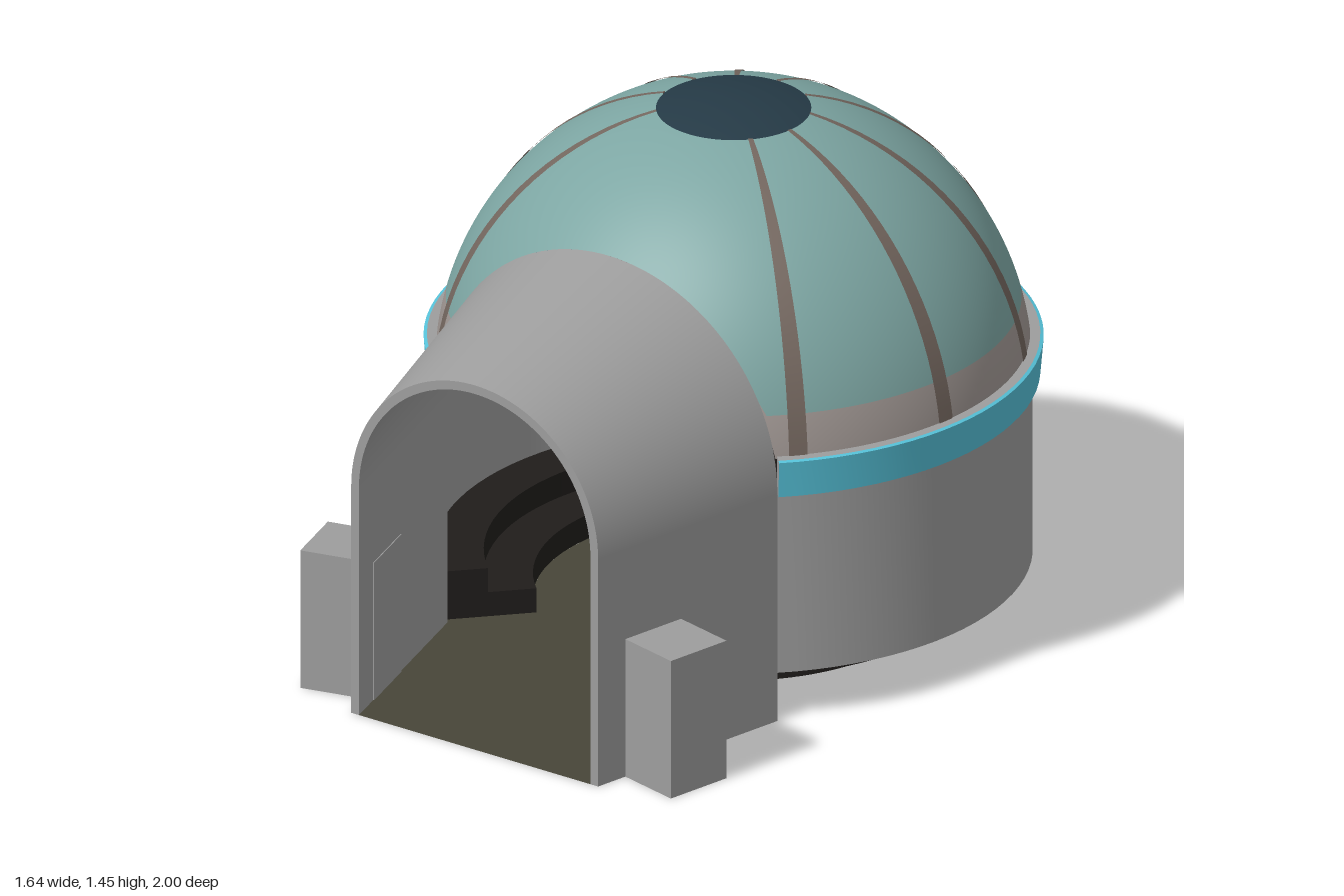
import * as THREE from 'three';
import { toCreasedNormals } from 'three/addons/utils/BufferGeometryUtils.js';
import { ParametricGeometry } from 'three/addons/geometries/ParametricGeometry.js';

const R = 0.79, SPRING = 0.66, CENTRE_Z = -0.18; // dome radius, spring line, axis
const CUT = 0.57;                                // entrance plane, measured from the axis
const GAP = Math.acos(CUT / R);                  // half angle of the entrance opening
const SWEEP = 2 * Math.PI - 2 * GAP;
const ARCH = Math.sqrt(R * R - CUT * CUT);       // arch radius where the porch meets the dome

const mat = (color) => new THREE.MeshStandardMaterial({ color, side: THREE.DoubleSide });
const GREY = mat(0x9d9d9d), TEAL = mat(0x7da6a3), STRIPE = mat(0xa09793), BLUE = mat(0x56c2d9);
const BROWN = mat(0x73665e), CAP = mat(0x253a46), BLACK = mat(0x201d1b), FLOOR = mat(0x474538);

function add(parent, name, geometry, material) {
  const mesh = new THREE.Mesh(geometry, material);
  mesh.name = name;
  parent.add(mesh);
  return mesh;
}

// Revolved wall, open towards the entrance by default
function lathe(points, start = GAP, sweep = SWEEP, segments = 72) {
  const profile = points.map(([r, y]) => new THREE.Vector2(r, y));
  return toCreasedNormals(new THREE.LatheGeometry(profile, segments, start, sweep), 0.5);
}

// Flat end face standing in the radial plane at an angle
function radialFace(points, angle) {
  const shape = new THREE.Shape(points.map(([r, y]) => new THREE.Vector2(r, y)));
  return new THREE.ShapeGeometry(shape).rotateY(angle - Math.PI / 2);
}

// Zone of the dome between two elevations, trimmed by the entrance plane
function domeZone(low, high, rows) {
  const geometry = new ParametricGeometry((u, v, p) => {
    const phi = u * 2 * Math.PI, c = R * Math.cos(phi);
    const trim = c > CUT ? Math.acos(CUT / c) : 0;
    const e = THREE.MathUtils.lerp(Math.max(low, trim), Math.max(high, trim), v);
    p.set(Math.cos(e) * Math.sin(phi), Math.sin(e), Math.cos(e) * Math.cos(phi)).multiplyScalar(R);
  }, 240, rows);
  const pos = geometry.attributes.position, n = new THREE.Vector3();
  for (let i = 0; i < pos.count; i++) {
    n.fromBufferAttribute(pos, i).normalize();
    geometry.attributes.normal.setXYZ(i, n.x, n.y, n.z);
  }
  return geometry.translate(0, SPRING, 0);
}

// Point on a round-topped arch with straight legs
function archPoint(t, r, z, p) {
  if (t < 0.2) return p.set(r, SPRING * t / 0.2, z);
  if (t > 0.8) return p.set(-r, SPRING * (1 - t) / 0.2, z);
  const a = Math.PI * (t - 0.2) / 0.6;
  return p.set(r * Math.cos(a), SPRING + r * Math.sin(a), z);
}

// Surface stretched between two arches given as [radius, z]
function archLoft([r0, z0], [r1, z1]) {
  return new ParametricGeometry((u, v, p) =>
    archPoint(u, r0 + (r1 - r0) * v, z0 + (z1 - z0) * v, p), 160, 4);
}

export function createModel() {
  const model = new THREE.Group();
  model.name = 'domedBuilding';
  const rotunda = new THREE.Group();
  rotunda.name = 'rotunda';
  rotunda.position.z = CENTRE_Z;
  model.add(rotunda);

  // Drum wall and stepped base
  add(rotunda, 'drumWall', lathe([[R, 0.14], [R, SPRING]]), GREY);
  const steps = [[0.53, 0], [0.53, 0.07], [0.66, 0.07], [0.66, 0.14], [R, 0.14]];
  add(rotunda, 'baseSteps', lathe(steps), BLACK);

  // Coloured band with a narrow bevel and plain rims
  const band = [[0.785, 0.66], [0.81, 0.66], [0.819, 0.763], [0.81, 0.766], [0.78, 0.766]];
  add(rotunda, 'bandOuter', lathe(band.slice(1, 4)), BLUE);
  add(rotunda, 'bandInner', lathe([band[0], band[4]]), BLUE);
  add(rotunda, 'bandTopRim', lathe([band[3], band[4]]), GREY);
  add(rotunda, 'bandBottomRim', lathe([band[0], band[1]]), GREY);
  for (const angle of [GAP, -GAP]) {
    add(rotunda, 'bandEnd', radialFace(band, angle), GREY);
    add(rotunda, 'baseStepsEnd', radialFace([...steps, [R, 0]], angle), BLACK);
  }

  // Dome: lower stripe, main shell, crown cap
  const eBase = Math.asin(0.1 / R), eStripe = Math.asin(0.215 / R), eCap = Math.acos(0.205 / R);
  add(rotunda, 'domeStripe', domeZone(eBase, eStripe, 4), STRIPE);
  add(rotunda, 'domeShell', domeZone(eStripe, eCap, 32), TEAL);
  add(rotunda, 'domeCap', domeZone(eCap, Math.PI / 2, 6), CAP);

  // Ribs: thin wedges running from the band to the cap
  const ribProfile = [];
  const ribArc = (radius, from, to) => {
    for (let i = 0; i <= 20; i++) {
      const e = from + (to - from) * i / 20;
      ribProfile.push([radius * Math.cos(e), SPRING + radius * Math.sin(e)]);
    }
  };
  ribArc(R + 0.003, eBase, eCap);
  ribArc(R - 0.012, eCap, eBase);
  ribProfile.push(ribProfile[0]);
  const ribWidth = 0.064, ribStep = THREE.MathUtils.degToRad(33);
  for (let i = -4; i <= 4; i++) {
    const angle = Math.PI + i * ribStep - ribWidth / 2;
    add(rotunda, 'domeRib', lathe(ribProfile, angle, ribWidth, 2), BROWN);
  }

  // Tapering arched porch with a thin wall
  const porch = new THREE.Group();
  porch.name = 'porch';
  model.add(porch);
  const backZ = CENTRE_Z + CUT, wall = 0.025, front = 0.4;
  const outer = [[ARCH, backZ], [front, 1]];
  const inner = [[ARCH - wall, backZ], [front - wall, 1]];
  add(porch, 'porchOuter', archLoft(outer[0], outer[1]), GREY);
  add(porch, 'porchInner', archLoft(inner[0], inner[1]), GREY);
  add(porch, 'porchFrontRim', archLoft(outer[1], inner[1]), GREY);
  add(porch, 'porchBackRim', archLoft(inner[0], outer[0]), GREY);

  // Floor: round room joined to the porch
  const floor = new THREE.Shape();
  floor.moveTo(-ARCH, -backZ);
  floor.lineTo(-front, -1);
  floor.lineTo(front, -1);
  floor.lineTo(ARCH, -backZ);
  for (let i = 0; i <= 64; i++) {
    const a = GAP + SWEEP * i / 64;
    floor.lineTo(0.53 * Math.sin(a), -(CENTRE_Z + 0.53 * Math.cos(a)));
  }
  add(model, 'floor', new THREE.ShapeGeometry(floor).rotateX(-Math.PI / 2), FLOOR);

  // Block buttresses set square to the porch walls
  for (const side of [1, -1]) {
    const block = add(porch, 'buttress', new THREE.BoxGeometry(0.21, 0.4, 0.195), GREY);
    block.position.set(side * 0.521, 0.2, 0.831);
    block.rotation.y = -side * 0.236;
  }
  return model;
}
